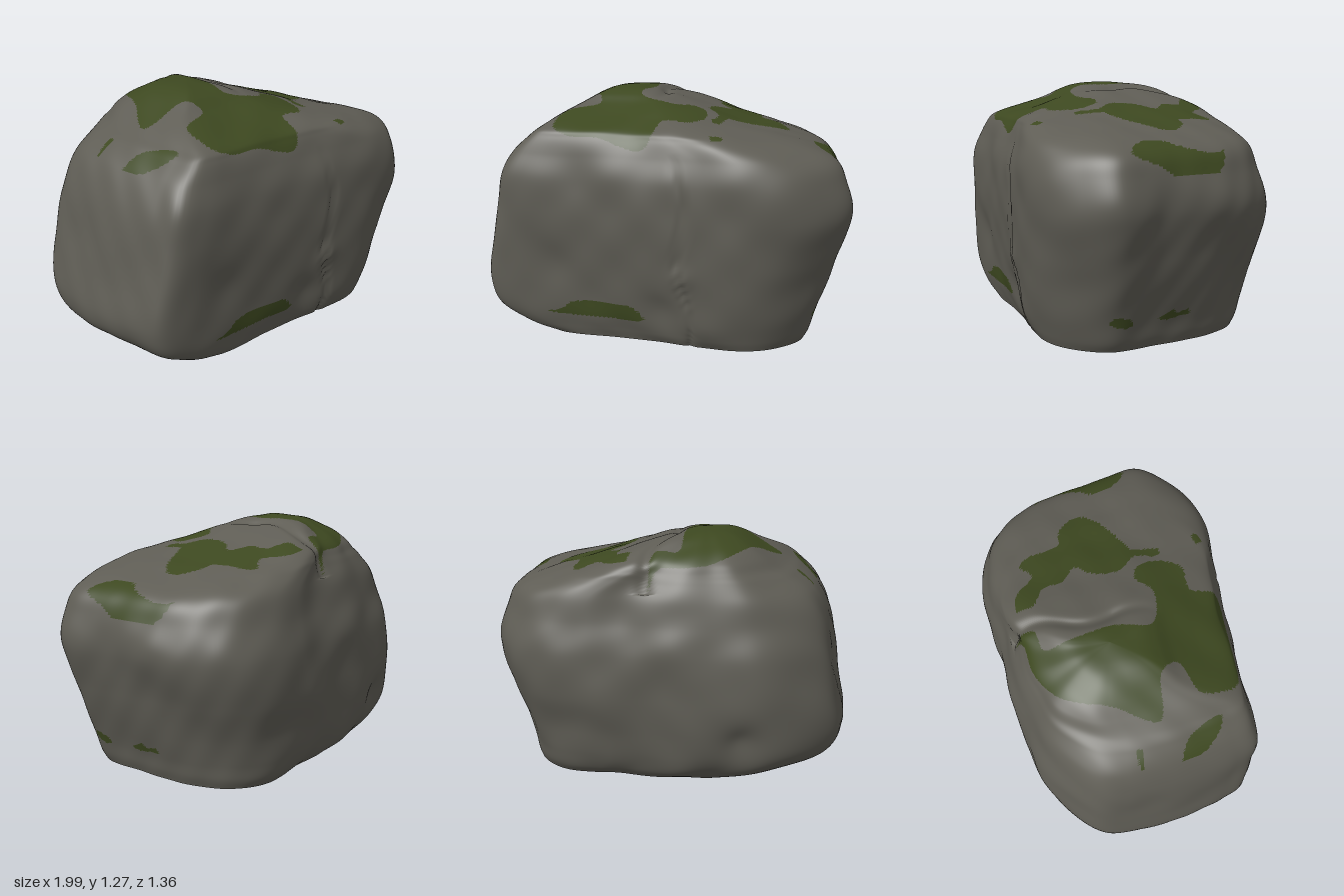
import * as THREE from 'three';

const rockMat = new THREE.MeshStandardMaterial({ color: 0x5f5d55 });
rockMat.name = 'grey rock';
const mossMat = new THREE.MeshStandardMaterial({ color: 0x3d4820 });
mossMat.name = 'green moss';
const underMat = new THREE.MeshStandardMaterial({ color: 0x050505 });
underMat.name = 'black underside';

// Plan outline of the boulder (x, z)
const PLAN = [
  [1, 0.27], [0.9, 0.43], [0.75, 0.55], [0.57, 0.61], [0.3, 0.62], [0, 0.62], [-0.3, 0.64], [-0.68, 0.67],
  [-0.82, 0.65], [-0.88, 0.53], [-0.93, 0.35], [-0.97, 0.18], [-1, -0.05], [-0.98, -0.2], [-0.85, -0.36],
  [-0.7, -0.47], [-0.5, -0.53], [-0.3, -0.59], [0, -0.61], [0.2, -0.66], [0.4, -0.68], [0.6, -0.63],
  [0.76, -0.5], [0.86, -0.33], [0.91, -0.15], [0.95, 0.03],
];

// Levels going up: y, x right side, x left side, z front, z back
const LEVELS = [
  [0, -0.6, 0.77, 0.58, -0.54], [0.05, -0.78, 0.795, 0.61, -0.575], [0.13, -0.94, 0.82, 0.64, -0.6],
  [0.25, -1, 0.86, 0.655, -0.625], [0.45, -0.975, 0.925, 0.67, -0.67], [0.68, -0.935, 1, 0.68, -0.67],
  [0.85, -0.885, 0.96, 0.68, -0.625], [0.97, -0.82, 0.87, 0.645, -0.595], [1.05, -0.72, 0.62, 0.61, -0.55],
  [1.09, -0.65, 0.45, 0.57, -0.52], [1.14, -0.58, 0.27, 0.43, -0.47], [1.19, -0.5, 0.12, 0.3, -0.38],
  [1.235, -0.41, -0.02, 0.21, -0.28], [1.26, -0.33, -0.12, 0.12, -0.18], [1.27, -0.22, -0.22, -0.03, -0.03],
];

// Soft dents (positive) and bulges (negative): x, y, z, radius, depth
const DENTS = [
  [-0.4, 0.87, 0.68, 0.16, 0.025], [-0.5, 0.4, 0.66, 0.14, 0.025], [-0.02, 0.6, 0.65, 0.2, -0.02],
  [0.12, 0.16, 0.62, 0.11, 0.04], [0.22, 0.38, 0.62, 0.06, -0.02], [0.95, 0.68, 0, 0.17, 0.035],
  [0.9, 0.55, -0.25, 0.15, 0.015], [-0.2, 0.5, -0.62, 0.18, 0.03], [-0.6, 0.25, -0.5, 0.09, 0.03],
  [0.3, 0.3, -0.66, 0.12, 0.025], [-0.95, 0.6, 0.05, 0.16, 0.02],
];

// Moss patches seen from above (x, z)
const MOSS_WEST = [
  [-0.08, -0.5], [-0.13, -0.45], [-0.28, -0.42], [-0.42, -0.32], [-0.48, -0.2], [-0.52, -0.05], [-0.6, 0.12],
  [-0.57, 0.18], [-0.4, 0.19], [-0.34, 0.29], [-0.48, 0.36], [-0.5, 0.46], [-0.45, 0.58], [-0.2, 0.58],
  [0.03, 0.57], [0.06, 0.42], [0.19, 0.4], [0.24, 0.28], [0.21, 0.17], [0.13, 0.15], [0.04, 0.23],
  [-0.14, 0.19], [-0.13, 0], [-0.17, -0.2], [-0.19, -0.35], [-0.08, -0.39],
];
const MOSS_EAST = [
  [0.05, -0.47], [0.15, -0.46], [0.25, -0.37], [0.33, -0.43], [0.38, -0.38], [0.42, -0.22], [0.52, -0.2],
  [0.6, -0.1], [0.55, 0], [0.42, 0.1], [0.33, 0.16], [0.32, 0.29], [0.27, 0.28], [0.28, 0.17], [0.2, 0.08],
  [0.2, -0.05], [0.26, -0.15], [0.18, -0.22], [0.16, -0.32], [0.06, -0.38],
];
const MOSS_SMALL = [
  [[0.75, -0.32], [0.82, -0.28], [0.88, -0.15], [0.9, 0.1], [0.89, 0.2], [0.8, 0.14], [0.75, 0.02], [0.8, -0.1], [0.79, -0.25]],
  [[-0.78, 0.25], [-0.68, 0.3], [-0.6, 0.45], [-0.65, 0.46], [-0.75, 0.37]],
  [[0.33, 0.51], [0.38, 0.49], [0.4, 0.52], [0.35, 0.54]],
  [[-0.8, 0.04], [-0.72, 0.03], [-0.72, 0.06], [-0.79, 0.06]],
];
// Low moss patches on the front (x, y) and on the left side (z, y)
const MOSS_FRONT = [[-0.52, 0.13], [-0.4, 0.12], [-0.2, 0.12], [0, 0.12], [0, 0.15], [-0.08, 0.2], [-0.35, 0.2], [-0.43, 0.15]];
const MOSS_SIDE = [
  [[0.29, 0.16], [0.26, 0.185], [0.2, 0.175], [0.16, 0.145], [0.2, 0.125], [0.27, 0.145]],
  [[0.02, 0.15], [-0.05, 0.185], [-0.08, 0.165], [-0.14, 0.175], [-0.15, 0.15], [-0.1, 0.145], [-0.02, 0.135]],
];

const smooth = (pts) => new THREE.SplineCurve([...pts, pts[0]].map((p) => new THREE.Vector2(...p))).getPoints(pts.length * 5);

function inside(poly, u, v) {
  let hit = false;
  for (let i = 0, j = poly.length - 1; i < poly.length; j = i++) {
    const a = poly[i], b = poly[j];
    if (a.y > v !== b.y > v && u < ((b.x - a.x) * (v - a.y)) / (b.y - a.y) + a.x) hit = !hit;
  }
  return hit;
}

// Depth of the weathering at a point: gentle waves, dents and two cracks
function weathering(p) {
  let d = 0.006 * Math.sin(p.x * 9 + p.y * 4) * Math.sin(p.z * 8 - p.y * 7 + 1)
    + 0.003 * Math.sin(p.x * 21 + p.z * 17) * Math.sin(p.y * 19 + p.z * 11);
  for (const [x, y, z, r, depth] of DENTS) {
    d += depth * Math.exp(-((p.x - x) ** 2 + (p.y - y) ** 2 + (p.z - z) ** 2) / (r * r));
  }
  if (p.z > 0.45 && p.y < 1) {
    const c = p.x - (0.23 + 0.025 * Math.sin(p.y * 11) - 0.05 * (p.y - 0.4));
    d += 0.016 * Math.exp(-((c / 0.016) ** 2)) * Math.min(1, (1 - p.y) * 4);
  }
  if (p.y > 1 && p.z < 0.25) {
    const c = p.x + 0.07 - 0.03 * Math.sin(p.z * 12);
    d += 0.018 * Math.exp(-((c / 0.03) ** 2)) * Math.min(1, (0.25 - p.z) * 4);
  }
  return d;
}

export function createModel() {
  const COLS = 240, ROWS = 168;
  const plan = new THREE.CatmullRomCurve3(PLAN.map(([x, z]) => new THREE.Vector3(x, 0, z / 0.675)), true)
    .getSpacedPoints(COLS);
  const xCurve = new THREE.CatmullRomCurve3(LEVELS.map((l) => new THREE.Vector3(l[0], l[1], l[2])), false, 'catmullrom');
  const zCurve = new THREE.CatmullRomCurve3(LEVELS.map((l) => new THREE.Vector3(l[0], l[3], l[4])), false, 'catmullrom');

  // Stack the plan outline along the side profiles
  const pos = [], p = new THREE.Vector3(), dir = new THREE.Vector3();
  for (let i = 0; i <= ROWS; i++) {
    const a = xCurve.getPoint(i / ROWS), b = zCurve.getPoint(i / ROWS);
    for (let j = 0; j < COLS; j++) {
      p.set((a.y + a.z) / 2 + (plan[j].x * (a.z - a.y)) / 2, a.x, (b.y + b.z) / 2 + (plan[j].z * (b.y - b.z)) / 2);
      dir.set(p.x, (p.y - 0.6) * Math.min(1, p.y / 0.2), p.z).normalize();
      p.addScaledVector(dir, -weathering(p));
      pos.push(p.x, i ? Math.max(0, p.y) : 0, p.z);
    }
  }

  // Sort the faces into rock and moss
  const top = [MOSS_WEST, MOSS_EAST, ...MOSS_SMALL].map(smooth);
  const front = smooth(MOSS_FRONT), side = MOSS_SIDE.map(smooth);
  const isMoss = (x, y, z) => (y > 0.85 ? top.some((s) => inside(s, x, z))
    : y < 0.3 && ((z > 0.45 && inside(front, x, y)) || (x > 0.6 && side.some((s) => inside(s, z, y)))));
  const rock = [], moss = [];
  const addFace = (...f) => {
    const mid = [0, 1, 2].map((k) => (pos[f[0] * 3 + k] + pos[f[1] * 3 + k] + pos[f[2] * 3 + k]) / 3);
    (isMoss(...mid) ? moss : rock).push(...f);
  };
  for (let i = 0; i < ROWS; i++) {
    for (let j = 0; j < COLS; j++) {
      const a = i * COLS + j, b = i * COLS + ((j + 1) % COLS);
      addFace(a, a + COLS, b);
      if (i < ROWS - 1) addFace(b, a + COLS, b + COLS);
    }
  }
  const geo = new THREE.BufferGeometry();
  geo.setAttribute('position', new THREE.Float32BufferAttribute(pos, 3));
  geo.setIndex([...rock, ...moss]);
  geo.addGroup(0, rock.length, 0);
  geo.addGroup(rock.length, moss.length, 1);
  geo.computeVertexNormals();
  const boulder = new THREE.Mesh(geo, [rockMat, mossMat]);
  boulder.name = 'mossyBoulder';

  // Flat underside
  const rim = Array.from({ length: COLS }, (_, j) => new THREE.Vector2(pos[j * 3], pos[j * 3 + 2]));
  const underside = new THREE.Mesh(new THREE.ShapeGeometry(new THREE.Shape(rim)).rotateX(Math.PI / 2), underMat);
  underside.name = 'underside';

  const group = new THREE.Group();
  group.name = 'boulder';
  group.add(boulder, underside);
  return group;
}
